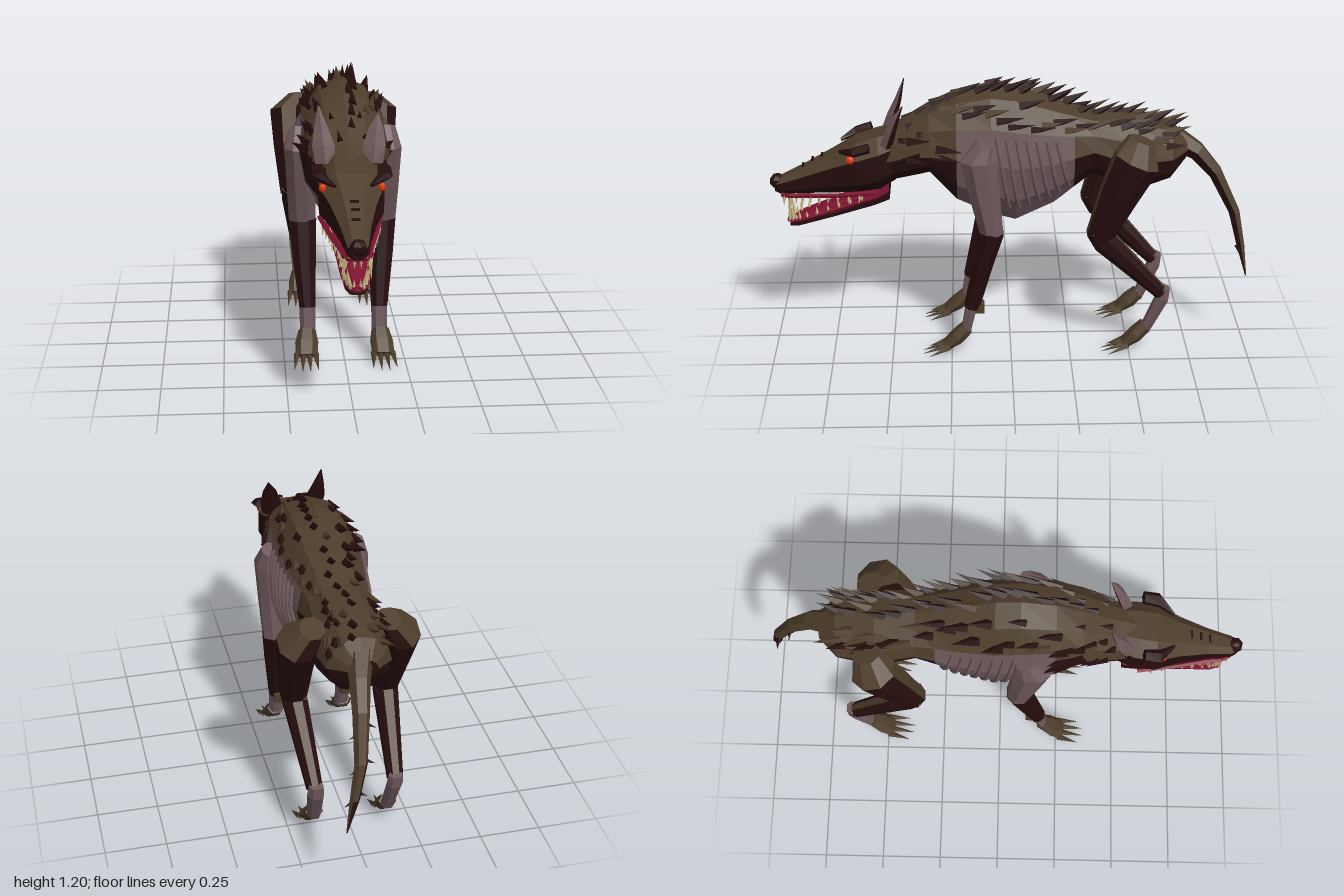
import * as THREE from 'three';

const mat = (name, color) => Object.assign(new THREE.MeshStandardMaterial({ color }), { name });
const V = (x, y, z) => new THREE.Vector3(x, y, z);

export function createModel() {
  const M = {
    fur: mat('brown fur', 0x4d3d2b),
    hide: mat('dark hide', 0x260d0d),
    skin: mat('bare skin', 0x6e585b),
    gum: mat('red gum', 0x7d1230),
    bone: mat('bone teeth', 0xcdb987),
    eye: mat('glowing eye', 0xe03a10),
  };
  const keys = Object.keys(M);
  const mats = Object.values(M);
  const root = new THREE.Group();
  root.name = 'beast';

  const add = (name, geo, material) => {
    if (geo.index) geo = geo.toNonIndexed();
    geo.computeVertexNormals();
    const mesh = new THREE.Mesh(geo, material);
    mesh.name = name;
    root.add(mesh);
    return mesh;
  };

  // Flat-faced skin over rings [x, y, z, halfWidth, halfDepth]; paint(normal, centre) picks a colour
  function loft(name, secs, sides, paint, { upright = false, turn = 0, square = 1 } = {}) {
    const C = secs.map(s => V(s[0], s[1], s[2]));
    const pw = v => Math.sign(v) * Math.abs(v) ** square;
    const rings = secs.map((s, i) => {
      const t = C[Math.min(i + 1, C.length - 1)].clone().sub(C[Math.max(i - 1, 0)]);
      const v = upright ? V(0, 1, 0) : t.cross(V(1, 0, 0)).normalize();
      return Array.from({ length: sides }, (_, j) => {
        const a = (j + turn) / sides * Math.PI * 2;
        return C[i].clone().add(V(s[3] * pw(Math.cos(a)), 0, 0)).addScaledVector(v, s[4] * pw(Math.sin(a)));
      });
    });
    const buckets = mats.map(() => []);
    const face = (pts, inside) => {
      const mid = pts.reduce((m, p) => m.add(p), V(0, 0, 0)).divideScalar(pts.length);
      const n = pts[1].clone().sub(pts[0]).cross(pts[2].clone().sub(pts[0])).normalize();
      if (n.dot(mid.clone().sub(inside)) < 0) { pts.reverse(); n.negate(); }
      const out = buckets[keys.indexOf(paint(n, mid))];
      for (let k = 2; k < pts.length; k++)
        for (const p of [pts[0], pts[k - 1], pts[k]]) out.push(p.x, p.y, p.z);
    };
    for (let i = 0; i + 1 < rings.length; i++) {
      const inside = C[i].clone().lerp(C[i + 1], 0.5);
      for (let j = 0; j < sides; j++) {
        const k = (j + 1) % sides;
        face([rings[i][j], rings[i][k], rings[i + 1][k], rings[i + 1][j]], inside);
      }
    }
    const e = C.length - 1;
    face([...rings[0]], C[1]);
    face([...rings[e]], C[e - 1]);
    const geo = new THREE.BufferGeometry();
    geo.setAttribute('position', new THREE.Float32BufferAttribute(buckets.flat(), 3));
    let start = 0;
    buckets.forEach((b, i) => {
      if (b.length) geo.addGroup(start, b.length / 3, i);
      start += b.length / 3;
    });
    return add(name, geo, mats);
  }

  // Pointed cone from a base point along a direction
  function spike(name, material, base, dir, r, len, sides = 4) {
    const m = add(name, new THREE.ConeGeometry(r, len, sides).translate(0, len / 2, 0), material);
    m.position.copy(base);
    m.quaternion.setFromUnitVectors(V(0, 1, 0), dir.clone().normalize());
    return m;
  }
  const tube = (name, material, pts, r, n = 10) =>
    add(name, new THREE.TubeGeometry(new THREE.CatmullRomCurve3(pts), n, r, 5), material);
  // [z, top, bottom, halfWidth] to a ring
  const ring = ([z, top, bot, w]) => [0, (top + bot) / 2, z, w, (top - bot) / 2];
  const upper = limit => n => (n.y > limit ? 'fur' : 'hide');

  // Body with neck, rib cage and rump
  const body = [
    [0.56, 0.94, 0.74, 0.1], [0.46, 0.99, 0.75, 0.125], [0.33, 1.07, 0.78, 0.155],
    [0.22, 1.13, 0.65, 0.18], [0.08, 1.16, 0.58, 0.19], [-0.02, 1.15, 0.55, 0.19],
    [-0.18, 1.09, 0.63, 0.165], [-0.26, 1.06, 0.7, 0.15], [-0.34, 1.03, 0.77, 0.14],
    [-0.5, 1.02, 0.68, 0.15], [-0.66, 0.98, 0.74, 0.13], [-0.73, 0.92, 0.83, 0.06],
  ].map(ring);
  loft('body', body, 12, (n, c) =>
    c.z < 0.16 && c.z > -0.23 && c.y < 0.96 && n.y > -0.75 ? 'skin' : n.y > 0.05 ? 'fur' : 'hide',
  { upright: true });

  // Point on the body surface; angle is measured from the top, positive to +x
  const onBody = (z, a, grow = 0) => {
    let i = 0;
    while (i < body.length - 2 && body[i + 1][2] > z) i++;
    const [p, q] = [body[i], body[i + 1]];
    const s = p.map((v, k) => v + (q[k] - v) * (z - p[2]) / (q[2] - p[2]));
    return V(Math.sin(a) * (s[3] + grow), s[1] + Math.cos(a) * (s[4] + grow), z);
  };

  // Ribs
  for (const s of [-1, 1])
    for (let i = 0; i < 7; i++) {
      const z = 0.06 - i * 0.041;
      tube('rib', M.skin, [1.15, 1.5, 1.9, 2.25].map((a, k) => onBody(z - k * 0.018, s * a, 0.003)), 0.009, 8);
    }

  // Bristling spikes along the neck, back and rump
  let seed = 7;
  const rnd = () => (seed = (seed * 16807) % 2147483647) / 2147483647;
  const bristle = (z, a, lift, len) => spike('bristle', rnd() < 0.72 ? M.hide : M.fur, onBody(z, a, -0.012),
    V(Math.sin(a) * lift, Math.cos(a) * lift, -1), 0.017 + rnd() * 0.008, len);
  for (let i = 0; i < 19; i++) bristle(0.44 - i * 0.06, (rnd() - 0.5) * 0.5, 0.55, 0.09 + rnd() * 0.04);
  for (const s of [-1, 1]) {
    for (let i = 0; i < 24; i++) bristle(0.42 - i * 0.046, s * (0.35 + rnd() * 0.65), 0.45, 0.08 + rnd() * 0.04);
    for (let i = 0; i < 10; i++) bristle(0.47 - rnd() * 0.22, s * (0.9 + rnd() * 0.9), 0.5, 0.08 + rnd() * 0.04);
    for (let i = 0; i < 5; i++) bristle(-0.5 - rnd() * 0.18, s * (0.5 + rnd() * 0.6), 0.5, 0.08);
  }

  // Tail, curling to one side, with thorns
  loft('tail', [[0, 0.91, -0.68, 0.055, 0.05], [0.025, 0.86, -0.77, 0.042, 0.04], [0.04, 0.77, -0.85, 0.034, 0.032],
    [0.06, 0.6, -0.935, 0.026, 0.025], [0.09, 0.46, -0.965, 0.02, 0.018], [0.125, 0.33, -0.99, 0.003, 0.003]], 6, upper(0.1));
  [[0.04, 0.72, -0.87], [0.055, 0.6, -0.93], [0.085, 0.47, -0.955]].forEach(([x, y, z], i) => {
    for (const s of [-1, 1]) spike('tailThorn', M.hide, V(x, y - s * 0.02, z), V(s, -0.5, -0.1), 0.014, 0.06 - i * 0.004);
  });

  // Head with the upper jaw
  loft('head', [[0.47, 0.97, 0.75, 0.11], [0.54, 0.955, 0.71, 0.13], [0.63, 0.925, 0.7, 0.132], [0.73, 0.87, 0.69, 0.092],
    [0.85, 0.805, 0.685, 0.06], [0.95, 0.755, 0.68, 0.042], [0.975, 0.74, 0.69, 0.028]].map(ring), 8, upper(0.04),
  { upright: true, turn: 0.5, square: 0.8 });
  add('nose', new THREE.SphereGeometry(0.033, 7, 5).translate(0, 0.733, 0.965), M.hide);
  // Snout creases
  [[0.775, 0.857], [0.815, 0.838], [0.855, 0.812]].forEach(([z, y]) =>
    add('snoutCrease', new THREE.BoxGeometry(0.032, 0.008, 0.009).translate(0, y - 0.007, z), M.hide));

  // Lower jaw and tongue
  loft('lowerJaw', [[0.5, 0.735, 0.665, 0.095], [0.56, 0.69, 0.645, 0.09], [0.72, 0.625, 0.59, 0.065],
    [0.88, 0.57, 0.54, 0.046], [0.92, 0.555, 0.535, 0.03]].map(ring), 8, n => (n.y > 0.6 ? 'gum' : 'hide'),
  { upright: true, turn: 0.5, square: 0.7 });
  loft('tongue', [[0.54, 0.715, 0.68, 0.05], [0.72, 0.65, 0.615, 0.042], [0.86, 0.592, 0.565, 0.036],
    [0.93, 0.57, 0.548, 0.02]].map(ring), 6, () => 'gum', { upright: true });

  // Gums and teeth
  const upGum = [V(0.118, 0.725, 0.56), V(0.085, 0.7, 0.72), V(0.056, 0.69, 0.85), V(0.038, 0.685, 0.94)];
  const lowGum = [V(0.09, 0.695, 0.55), V(0.06, 0.63, 0.72), V(0.042, 0.575, 0.87), V(0.022, 0.56, 0.92)];
  for (const [pts, down, name] of [[upGum, -1, 'upper'], [lowGum, 1, 'lower']]) {
    const loop = [...pts, ...pts.map(p => V(-p.x, p.y, p.z)).reverse()];
    tube(name + 'Gum', M.gum, loop, 0.01, 24);
    const curve = new THREE.CatmullRomCurve3(pts);
    for (const s of [-1, 1])
      for (let i = 0; i < 10; i++) {
        const p = curve.getPoint(0.12 + i * 0.095);
        const fang = i === 8 ? 0.095 : i === 6 ? 0.06 : 0.038 + rnd() * 0.015;
        spike(name + 'Tooth', M.bone, V(p.x * s, p.y, p.z), V(s * 0.1, down, 0.12), i === 8 ? 0.012 : 0.009, down > 0 ? fang * 0.8 : fang);
      }
    for (const x of [-0.012, 0.012]) spike(name + 'Incisor', M.bone, V(x, pts[3].y, pts[3].z), V(0, down, 0.15), 0.008, 0.04);
  }

  // Paw with four claws
  const paw = (s, z) => {
    loft('paw', [[s * 0.153, 0.115, z, 0.036, 0.03], [s * 0.156, 0.075, z + 0.04, 0.048, 0.032],
      [s * 0.16, 0.035, z + 0.09, 0.046, 0.02]], 6, () => 'fur');
    for (let i = 0; i < 4; i++) {
      const x = 0.122 + i * 0.025, tip = V(s * (0.113 + i * 0.033), 0.002, z + (i % 3 ? 0.19 : 0.165));
      const base = V(s * x, 0.04, z + 0.075), dir = tip.clone().sub(base);
      spike('claw', M.fur, base, dir, 0.015, dir.length());
    }
  };

  for (const s of [-1, 1]) {
    // Eye, brow and ear
    const eye = add('eye', new THREE.SphereGeometry(0.018, 8, 6), M.eye);
    eye.position.set(s * 0.112, 0.868, 0.652);
    eye.scale.set(0.8, 1, 1);
    loft('brow', [[s * 0.125, 0.925, 0.575, 0.028, 0.02], [s * 0.122, 0.905, 0.64, 0.032, 0.018],
      [s * 0.07, 0.888, 0.7, 0.008, 0.008]], 5, () => 'hide');
    const tipY = s < 0 ? 1.137 : 1.1;
    loft('ear', [[s * 0.092, 0.92, 0.505, 0.038, 0.026], [s * 0.098, 0.985, 0.485, 0.044, 0.022],
      [s * 0.106, 1.05, 0.46, 0.028, 0.014], [s * 0.115, tipY, 0.435, 0.002, 0.002]], 4,
    n => (n.z > 0.4 ? 'skin' : 'hide'));

    // Front leg
    loft('upperArm', [[s * 0.178, 0.965, 0.1, 0.04, 0.04], [s * 0.182, 0.89, 0.13, 0.06, 0.08],
      [s * 0.172, 0.72, 0.105, 0.062, 0.065], [s * 0.165, 0.56, 0.078, 0.06, 0.05]], 8, () => 'skin', { turn: 0.5 });
    loft('forearm', [[s * 0.165, 0.57, 0.078, 0.062, 0.053], [s * 0.16, 0.42, 0.115, 0.052, 0.043],
      [s * 0.15, 0.21, 0.165, 0.036, 0.034]], 8, () => 'hide', { turn: 0.5 });
    loft('frontPastern', [[s * 0.15, 0.225, 0.165, 0.034, 0.028], [s * 0.15, 0.09, 0.192, 0.032, 0.022]], 6, () => 'skin');
    add('wristPad', new THREE.BoxGeometry(0.04, 0.045, 0.04).translate(s * 0.15, 0.21, 0.132), M.fur);
    paw(s, 0.185);

    // Hind leg
    loft('thigh', [[s * 0.15, 0.96, -0.53, 0.05, 0.06], [s * 0.2, 0.89, -0.505, 0.085, 0.1],
      [s * 0.2, 0.75, -0.44, 0.072, 0.085], [s * 0.19, 0.55, -0.36, 0.055, 0.058]], 8, upper(0.2), { turn: 0.5 });
    loft('shin', [[s * 0.19, 0.585, -0.345, 0.052, 0.045], [s * 0.187, 0.53, -0.385, 0.052, 0.055],
      [s * 0.165, 0.275, -0.63, 0.034, 0.03]], 8, upper(0.55), { turn: 0.5 });
    loft('hindPastern', [[s * 0.163, 0.3, -0.645, 0.03, 0.024], [s * 0.163, 0.25, -0.635, 0.035, 0.03],
      [s * 0.153, 0.09, -0.565, 0.03, 0.022]], 6, () => 'skin');
    paw(s, -0.57);
  }
  return root;
}
